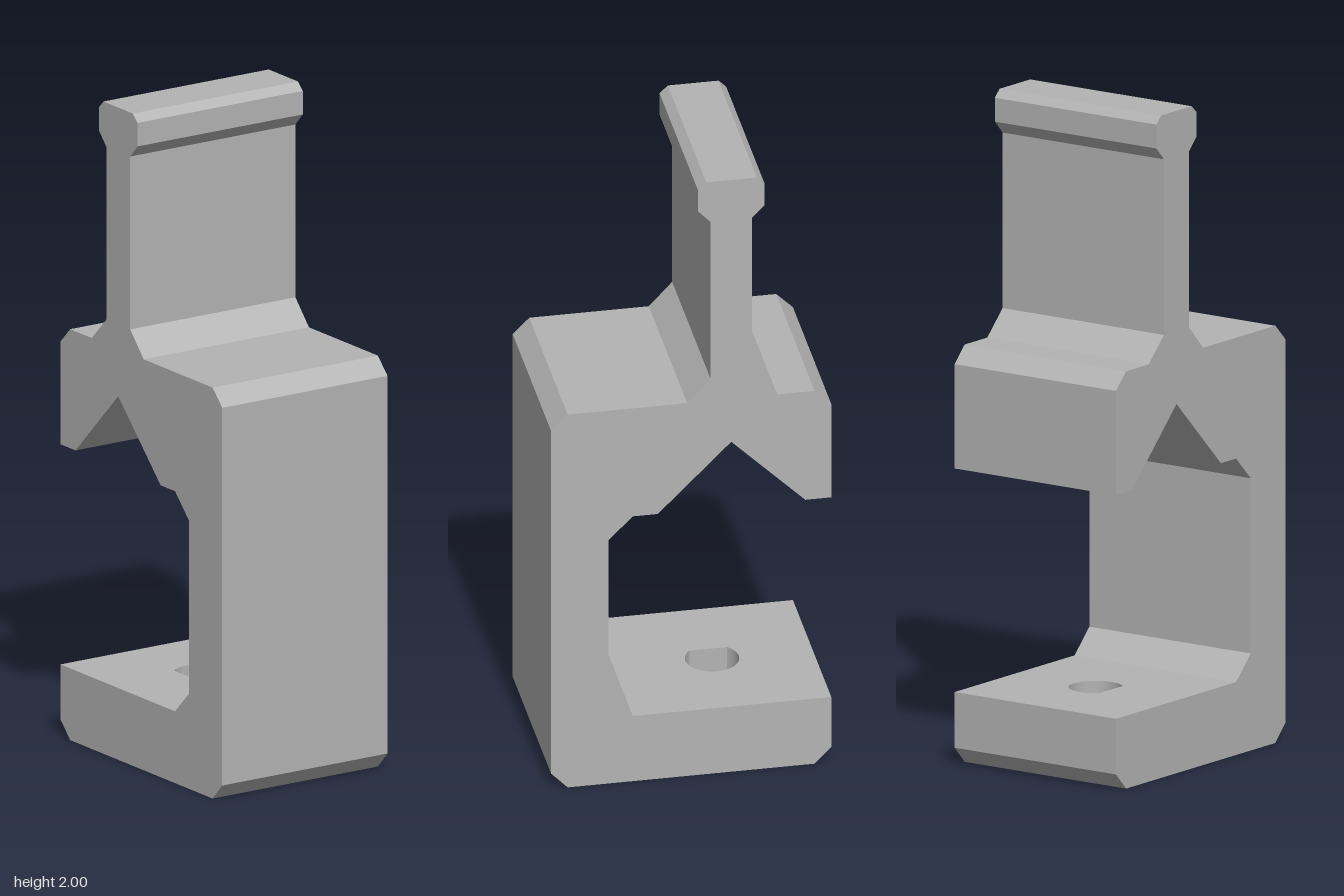
import * as THREE from 'three';
import { toCreasedNormals } from 'three/addons/utils/BufferGeometryUtils.js';

const WIDTH = 0.59;

const toShape = (pts) => new THREE.Shape(pts.map(([a, b]) => new THREE.Vector2(a, b)));

// Extrude a (z, y) side profile across the full width
function sideExtrude(pts) {
  const geo = new THREE.ExtrudeGeometry(toShape(pts), { depth: WIDTH, bevelEnabled: false });
  return geo.translate(0, 0, -WIDTH / 2).rotateY(-Math.PI / 2);
}

export function createModel() {
  const group = new THREE.Group();
  const grey = new THREE.MeshStandardMaterial({ color: 0xb3b3b3 });
  grey.name = 'grey';

  const add = (name, geo) => {
    const mesh = new THREE.Mesh(geo, grey);
    mesh.name = name;
    group.add(mesh);
  };

  // Upright, notched upper jaw and blade with its bulbed head
  add('clampBody', sideExtrude([
    [0.175, 0], [0.37, 0], [0.42, 0.052], [0.42, 1.21], [0.37, 1.26],
    [0.012, 1.26], [-0.058, 1.335], [-0.058, 1.865], [-0.02, 1.905], [-0.02, 1.977],
    [-0.045, 2], [-0.197, 2], [-0.22, 1.977], [-0.22, 1.905], [-0.182, 1.865],
    [-0.182, 1.335], [-0.258, 1.26], [-0.37, 1.26], [-0.42, 1.21], [-0.42, 0.895],
    [-0.342, 0.895], [-0.12, 1.115], [0.1, 0.895], [0.175, 0.895],
    [0.248, 0.822], [0.248, 0.293], [0.175, 0.22],
  ]));

  // Lower jaw plate with a vertical teardrop hole; shape y is -z
  const w = WIDTH / 2;
  const plate = toShape([[-w, -0.175], [w, -0.175], [w, 0.37], [-w, 0.37]]);
  const r = 0.08, holeY = 0.12;
  const hole = new THREE.Path();
  hole.moveTo(-r * Math.SQRT2, holeY);
  hole.absarc(0, holeY, r, Math.PI * 0.75, -Math.PI * 0.75, true);
  hole.closePath();
  plate.holes.push(hole);
  const plateGeo = new THREE.ExtrudeGeometry(plate, { depth: 0.22, bevelEnabled: false, curveSegments: 32 });
  add('lowerJaw', toCreasedNormals(plateGeo.rotateX(-Math.PI / 2), 0.5));

  // Chamfered tip of the lower jaw
  add('lowerJawTip', sideExtrude([[-0.37, 0], [-0.37, 0.22], [-0.42, 0.22], [-0.42, 0.052]]));

  return group;
}
